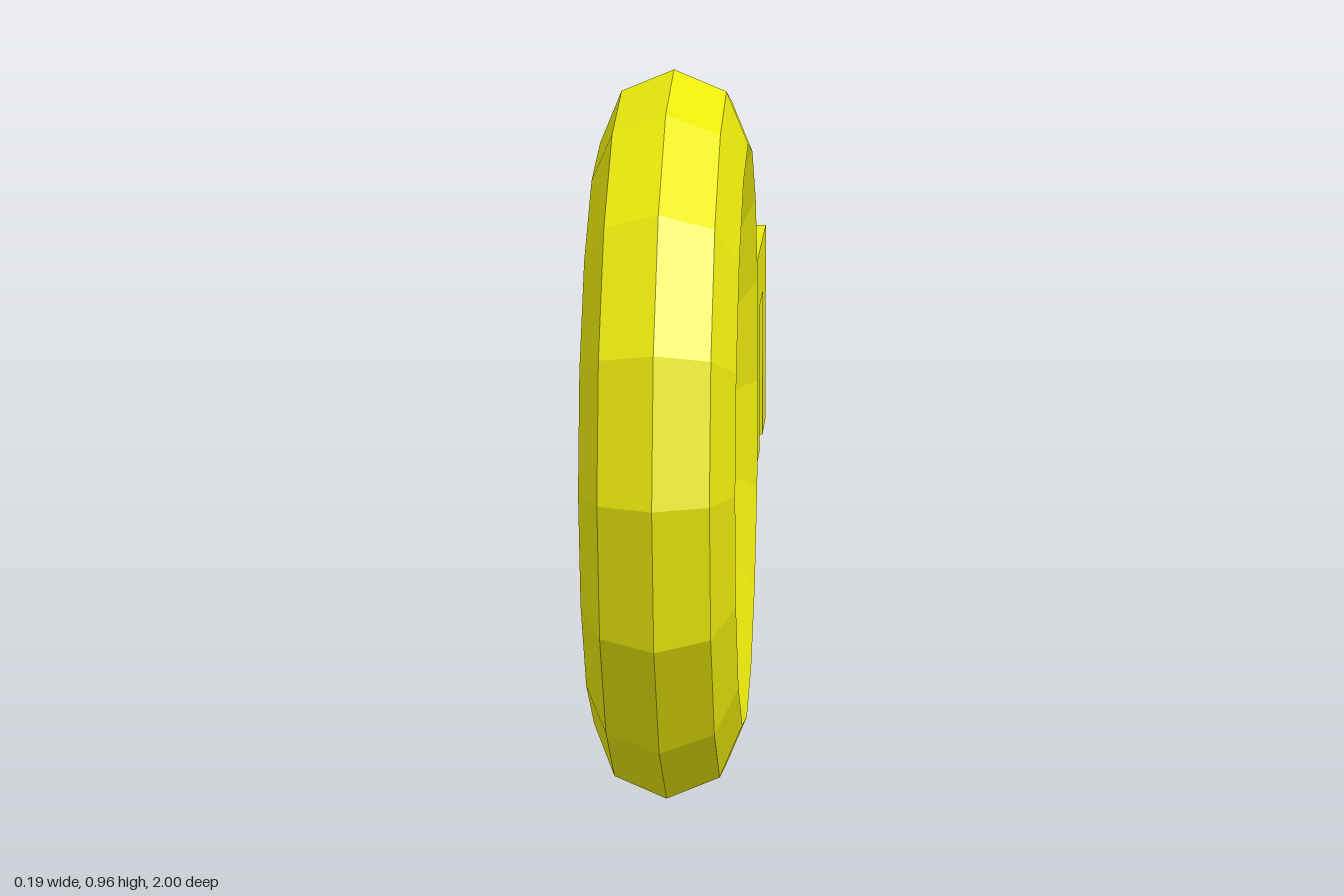
import * as THREE from 'three';

export function createModel() {
  const key = new THREE.Group();
  key.name = 'key';
  const yellow = new THREE.MeshStandardMaterial({ color: 0xeaea0c, flatShading: true });

  // Ring handle: low-poly torus standing in the YZ plane
  const ringGeometry = new THREE.TorusGeometry(0.383, 0.096, 8, 16);
  ringGeometry.rotateY(Math.PI / 2);
  const ring = new THREE.Mesh(ringGeometry, yellow);
  ring.name = 'ring';
  ring.position.set(0, 0.481, 0.521);
  key.add(ring);

  // Shaft with two teeth: one side profile of (z, y) points, extruded across x
  const width = 0.134;
  const profile = [
    [0.13, 0.53], [-1, 0.53], [-1, 0.2], [-0.866, 0.2], [-0.866, 0.44],
    [-0.73, 0.44], [-0.73, 0.2], [-0.6, 0.2], [-0.6, 0.44], [0.13, 0.44],
  ].map(([z, y]) => new THREE.Vector2(z, y));
  const shaftGeometry = new THREE.ExtrudeGeometry(new THREE.Shape(profile), {
    depth: width, bevelEnabled: false,
  });
  shaftGeometry.translate(0, 0, -width / 2).rotateY(-Math.PI / 2);
  const shaft = new THREE.Mesh(shaftGeometry, yellow);
  shaft.name = 'shaftAndTeeth';
  key.add(shaft);

  return key;
}
